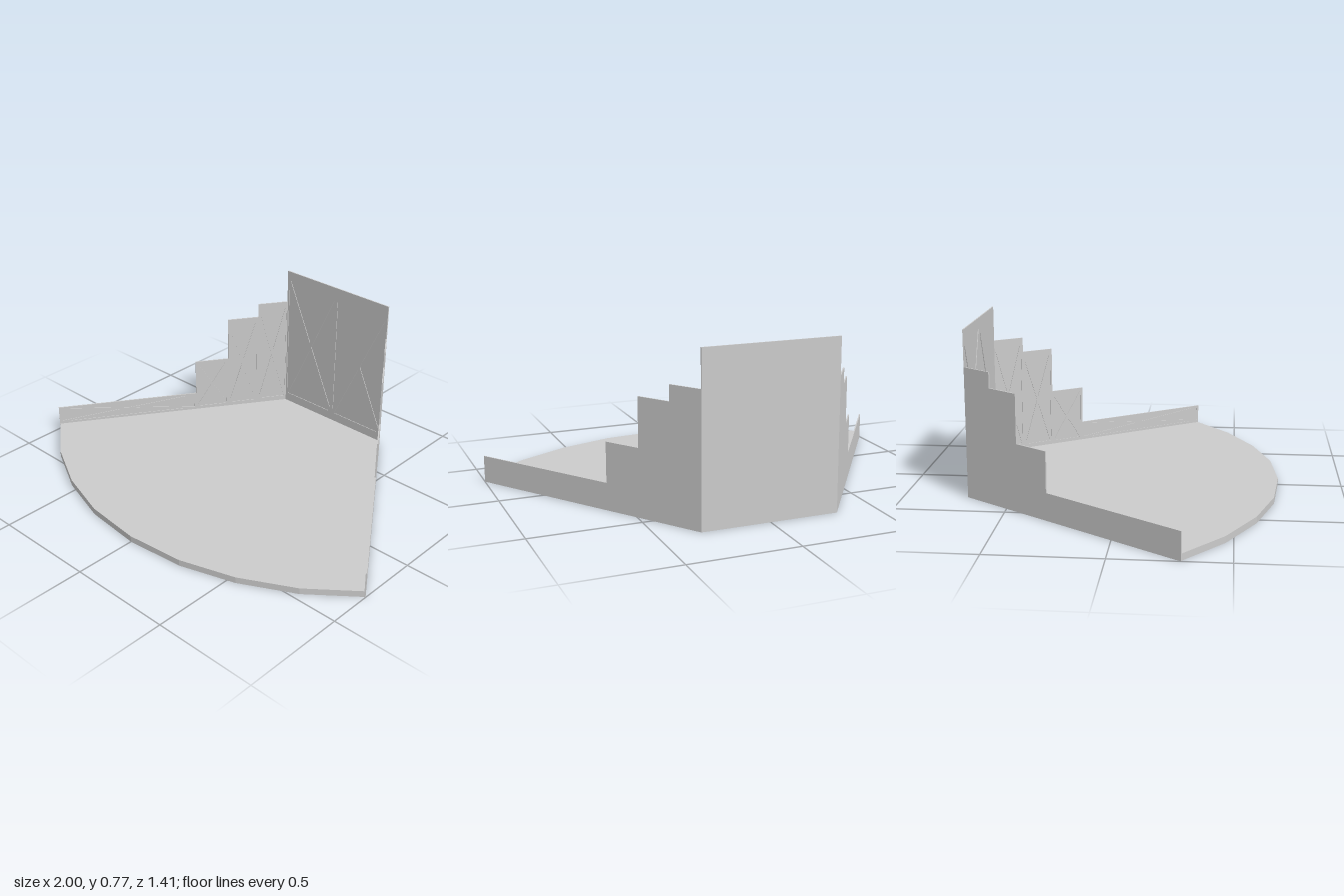
import * as THREE from 'three';

const SHEET = 0.003, FRAME = 0.003, FLOOR = 0.03;

// Four triangular openings between an X brace, inside the given rectangle
function braceHoles(x0, x1, y0, y1, d) {
  const w = x1 - x0, h = y1 - y0, D = Math.hypot(w, h);
  const gx = d * D / h, gy = d * D / w;
  const cx = (x0 + x1) / 2, cy = (y0 + y1) / 2;
  return [
    [[x0 + gx, y1], [x1 - gx, y1], [cx, cy + gy]],
    [[x0 + gx, y0], [cx, cy - gy], [x1 - gx, y0]],
    [[x0, y0 + gy], [x0, y1 - gy], [cx - gx, cy]],
    [[x1, y0 + gy], [cx + gx, cy], [x1, y1 - gy]],
  ].map(t => new THREE.Path(t.map(p => new THREE.Vector2(...p))).closePath());
}

// Thin wall between two plan points [x, z], with a braced frame on its inner face
function makeWall(name, a, b, height, bays, margin, d, material) {
  const dx = b[0] - a[0], dz = b[1] - a[1], length = Math.hypot(dx, dz);
  const wall = new THREE.Group();
  wall.name = name;

  const sheet = new THREE.Mesh(new THREE.BoxGeometry(length, height, SHEET), material);
  sheet.name = 'wallSheet';
  sheet.position.set(length / 2, height / 2, SHEET / 2);

  const shape = new THREE.Shape([[0, 0], [length, 0], [length, height], [0, height]]
    .map(p => new THREE.Vector2(...p)));
  const bay = length / bays;
  for (let i = 0; i < bays; i++) {
    shape.holes.push(...braceHoles(i * bay + 0.01, (i + 1) * bay - 0.01,
      FLOOR + margin[0], height - margin[1], d));
  }
  const frame = new THREE.Mesh(
    new THREE.ExtrudeGeometry(shape, { depth: FRAME, bevelEnabled: false }), material);
  frame.name = 'bracedFrame';
  frame.position.z = SHEET;

  wall.add(sheet, frame);
  wall.position.set(a[0], 0, a[1]);
  wall.rotation.y = Math.atan2(-dz, dx);
  return wall;
}

export function createModel() {
  const model = new THREE.Group();
  model.name = 'stageSet';
  const grey = new THREE.MeshStandardMaterial({ color: 0xcccccc });
  grey.name = 'lightGrey';
  grey.flatShading = true;

  // Stage floor with a faceted curved front edge
  const half = [[0.28, 0.678], [0.54, 0.597], [0.785, 0.467], [0.997, 0.294], [0.313, -0.702]];
  const outline = [[0, 0.705], ...half, ...half.slice().reverse().map(([x, z]) => [-x, z])];
  const floorGeometry = new THREE.ExtrudeGeometry(
    new THREE.Shape(outline.map(([x, z]) => new THREE.Vector2(x, -z))),
    { depth: FLOOR, bevelEnabled: false });
  floorGeometry.rotateX(-Math.PI / 2);
  const floor = new THREE.Mesh(floorGeometry, grey);
  floor.name = 'stageFloor';
  model.add(floor);

  // Back wall with two braced bays
  model.add(makeWall('backWall', [-0.315, -0.705], [0.315, -0.705], 0.775, 2, [0.045, 0.05], 0.009, grey));

  // Side walls stepping down towards the front: [z start, z end, height, margins, half brace width]
  const steps = [
    [-0.705, -0.575, 0.605, [0.025, 0.035], 0.006],
    [-0.575, -0.443, 0.533, [0.02, 0.03], 0.006],
    [-0.443, -0.3, 0.31, [0.017, 0.02], 0.006],
    [-0.3, 0.295, 0.125, [0.012, 0.01], 0.004],
  ];
  const edgeX = z => 0.315 + (z + 0.705) * 0.685;
  steps.forEach(([z0, z1, height, margin, d], i) => {
    const p = [edgeX(z0), z0], q = [edgeX(z1), z1];
    model.add(makeWall('leftWall' + (i + 1), p, q, height, 1, margin, d, grey));
    model.add(makeWall('rightWall' + (i + 1), [-q[0], q[1]], [-p[0], p[1]], height, 1, margin, d, grey));
  });

  return model;
}
